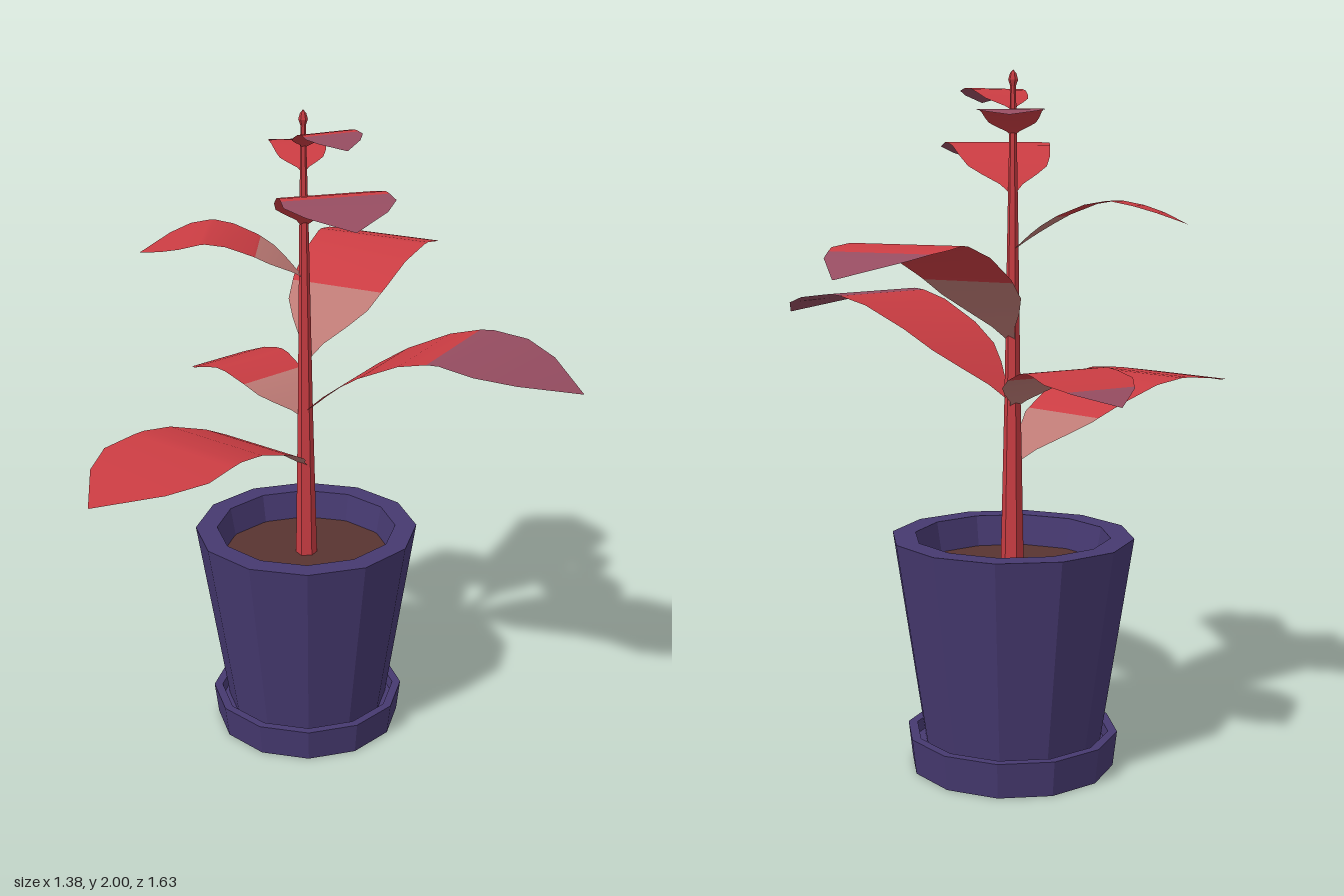
import * as THREE from 'three';

const mat = (name, color, double) => {
  const m = new THREE.MeshStandardMaterial({ color });
  m.name = name;
  if (double) m.side = THREE.DoubleSide;
  return m;
};

// Centre of the pot and stem
const CX = -0.2, CZ = -0.1;

// Leaf outline: [fraction of length, fraction of half width]
const OUTLINE = [[0, 0.05], [0.06, 0.2], [0.13, 0.48], [0.2, 0.7], [0.3, 0.81], [0.45, 0.89],
  [0.6, 0.96], [0.72, 1], [0.84, 0.72], [1, 0.01]];

function widthAt(t) {
  for (let i = 1; i < OUTLINE.length; i++) {
    const [t0, w0] = OUTLINE[i - 1], [t1, w1] = OUTLINE[i];
    if (t <= t1) return w0 + (w1 - w0) * (t - t0) / (t1 - t0);
  }
  return 0;
}

// Arched strip from the stem to the tip, with base, blade and tip colour bands
function leafGeometry({ tip: [tx, tz], y: [y0, yPeak, yTip], peak, half, base, end }) {
  const dx = tx - CX, dz = tz - CZ, len = Math.hypot(dx, dz);
  const px = -dz / len, pz = dx / len;
  const ts = [...new Set([...OUTLINE.map(o => o[0]), base, Math.min(end, 1), peak])].sort((a, b) => a - b);
  const pos = [], index = [], bands = [];
  ts.forEach((t, i) => {
    const y = t < peak
      ? y0 + (yPeak - y0) * (1 - Math.pow(1 - t / peak, 1.7))
      : yPeak - (yPeak - yTip) * Math.pow((t - peak) / (1 - peak), 1.5);
    const w = half * widthAt(t);
    for (const s of [-1, 1]) pos.push(CX + dx * t + s * px * w, y, CZ + dz * t + s * pz * w);
    if (i === 0) return;
    const a = 2 * i - 2;
    index.push(a, a + 1, a + 2, a + 1, a + 3, a + 2);
    const mid = (t + ts[i - 1]) / 2;
    bands.push(mid < base ? 0 : mid < end ? 1 : 2);
  });
  const g = new THREE.BufferGeometry();
  g.setAttribute('position', new THREE.Float32BufferAttribute(pos, 3));
  g.setIndex(index);
  g.computeVertexNormals();
  bands.forEach((b, i) => g.addGroup(i * 6, 6, b));
  return g;
}

const LEAVES = [
  { name: 'frontLeaf', tip: [-0.2, 0.81], y: [0.89, 1.115, 1.06], peak: 0.56, half: 0.205, base: 0.22, end: 1 },
  { name: 'leftLeaf', tip: [0.685, -0.255], y: [1.07, 1.365, 1.285], peak: 0.6, half: 0.2, base: 0, end: 0.555 },
  { name: 'rightLeaf', tip: [-0.69, -0.16], y: [1.05, 1.185, 1.11], peak: 0.52, half: 0.15, base: 0.3, end: 0.82 },
  { name: 'backLeaf', tip: [-0.33, -0.815], y: [1.24, 1.53, 1.45], peak: 0.63, half: 0.2, base: 0.28, end: 0.77 },
  { name: 'rightFrontLeaf', tip: [-0.59, 0.2], y: [1.5, 1.64, 1.575], peak: 0.57, half: 0.163, base: 0.28, end: 1 },
  { name: 'leftFrontLeaf', tip: [0.2, 0.16], y: [1.66, 1.81, 1.75], peak: 0.58, half: 0.163, base: 0, end: 0.63 },
  { name: 'smallBackLeaf', tip: [-0.385, -0.28], y: [1.82, 1.885, 1.865], peak: 0.6, half: 0.092, base: 0, end: 0.65 },
  { name: 'smallFrontLeaf', tip: [0.035, -0.01], y: [1.89, 1.957, 1.922], peak: 0.58, half: 0.092, base: 0, end: 0.65 },
];

// Turned shape with flat facets
function facetedLathe(points, sides) {
  const g = new THREE.LatheGeometry(points.map(p => new THREE.Vector2(...p)), sides, 0.18).toNonIndexed();
  g.computeVertexNormals();
  return g;
}

export function createModel() {
  const model = new THREE.Group();
  model.name = 'pottedPlant';
  const potMat = mat('potPurple', 0x463970);
  const soilMat = mat('soilBrown', 0x583431);
  const red = mat('leafRed', 0xc93c42, true);
  const pink = mat('leafBasePink', 0xbd7a75, true);
  const mauve = mat('leafTipMauve', 0x954c60, true);

  const add = (name, geometry, material, y = 0) => {
    const m = new THREE.Mesh(geometry, material);
    m.name = name;
    m.position.set(CX, y, CZ);
    model.add(m);
    return m;
  };

  // Saucer with a shallow lip
  add('saucer', facetedLathe([[0, 0], [0.298, 0], [0.31, 0.103], [0.283, 0.103], [0.278, 0.07], [0, 0.07]], 12), potMat);

  // Tapered pot with a thick rim and hollow inside
  add('pot', facetedLathe([[0.258, 0.06], [0.353, 0.68], [0.285, 0.68], [0.265, 0.57]], 12), potMat);

  // Soil
  add('soil', new THREE.CircleGeometry(0.275, 12).rotateX(-Math.PI / 2), soilMat, 0.59);

  // Stem with a pointed bud
  add('stem', facetedLathe([[0.034, 0.58], [0.023, 1.1], [0.015, 1.6], [0.008, 1.955],
    [0.014, 1.972], [0.009, 1.99], [0, 2]], 6), red);

  // Leaves
  for (const leaf of LEAVES) add(leaf.name, leafGeometry(leaf), [pink, red, mauve]).position.set(0, 0, 0);
  return model;
}
